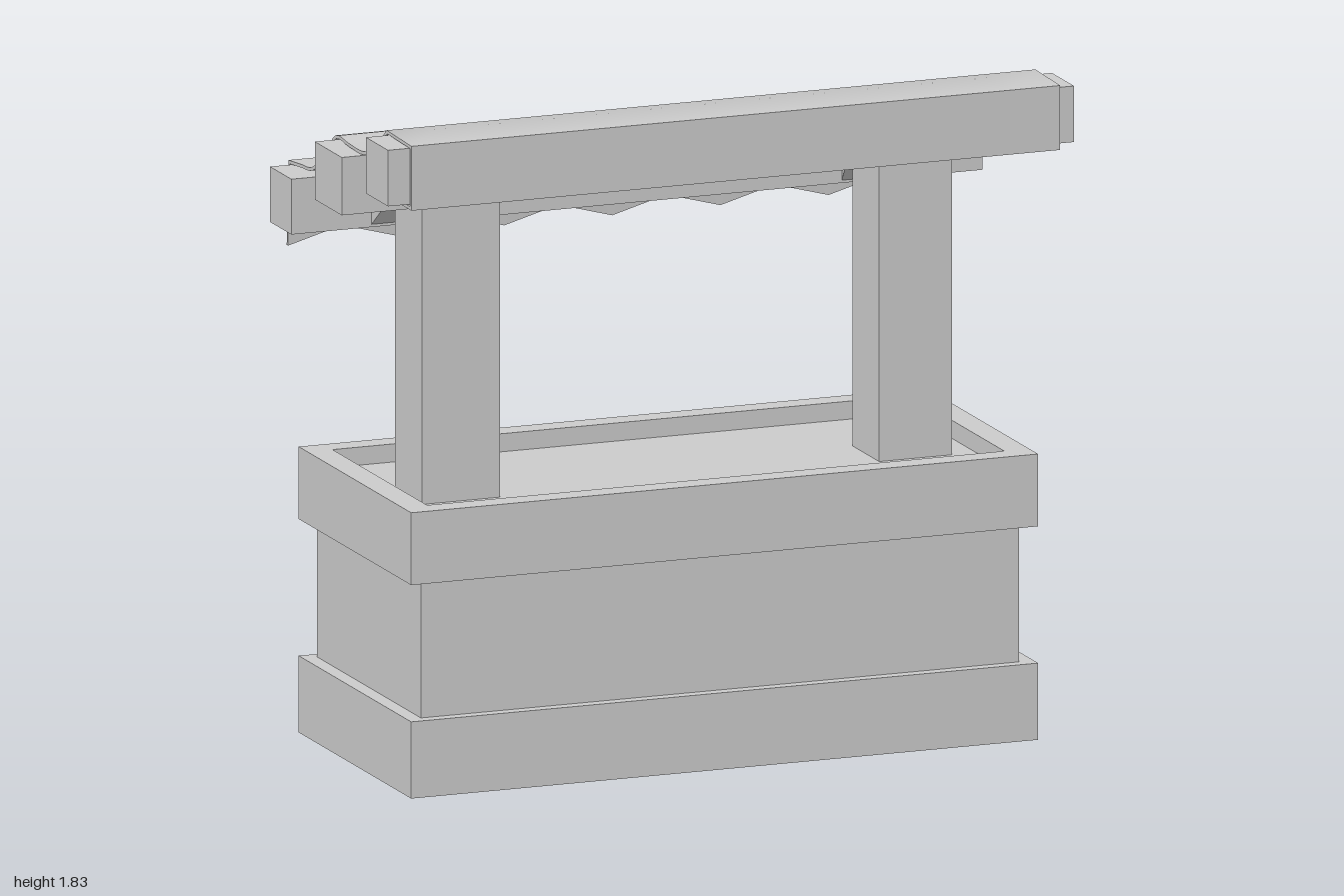
import * as THREE from 'three';
import { toCreasedNormals } from 'three/addons/utils/BufferGeometryUtils.js';

const material = new THREE.MeshStandardMaterial({ color: 0xcccccc });

function add(group, name, geometry) {
  const mesh = new THREE.Mesh(geometry, material);
  mesh.name = name;
  group.add(mesh);
  return mesh;
}

// Box given by its limits on each axis
function block(group, name, [x0, x1], [y0, y1], [z0, z1]) {
  const mesh = add(group, name, new THREE.BoxGeometry(x1 - x0, y1 - y0, z1 - z0));
  mesh.position.set((x0 + x1) / 2, (y0 + y1) / 2, (z0 + z1) / 2);
  return mesh;
}

// Extrudes a side profile of [z, y] points along x, from x0 to x1
function sideExtrude(points, x0, x1, steps = 1) {
  const shape = new THREE.Shape(points.map(([z, y]) => new THREE.Vector2(-z, y)));
  const geometry = new THREE.ExtrudeGeometry(shape, { depth: x1 - x0, steps, bevelEnabled: false });
  return geometry.rotateY(Math.PI / 2).translate(x0, 0, 0);
}

// Raised rim around the counter top
function rimGeometry() {
  const rect = (path, x, z0, z1) =>
    path.moveTo(-x, -z0).lineTo(x, -z0).lineTo(x, -z1).lineTo(-x, -z1).closePath();
  const shape = new THREE.Shape();
  rect(shape, 0.907, 0.365, -0.45);
  const hole = new THREE.Path();
  rect(hole, 0.835, 0.3, -0.385);
  shape.holes.push(hole);
  const geometry = new THREE.ExtrudeGeometry(shape, { depth: 0.2, bevelEnabled: false });
  return geometry.rotateX(-Math.PI / 2).translate(0, 0.59, 0);
}

// Bracket stepping from the front beam over the post to the rear beam
function bracketGeometry(side) {
  const outline = [
    [0.28, 1.66], [0.095, 1.56], [-0.1, 1.56], [-0.28, 1.425],
    [-0.28, 1.575], [-0.1, 1.72], [0.095, 1.72], [0.28, 1.815],
  ];
  const [x0, x1] = side > 0 ? [0.55, 0.768] : [-0.768, -0.545];
  const geometry = sideExtrude(outline, x0, x1);
  const p = geometry.attributes.position;
  // the inner face narrows towards both ends
  for (let i = 0; i < p.count; i++) {
    if (Math.abs(p.getZ(i)) > 0.2 && Math.abs(p.getX(i)) < 0.6) p.setX(i, p.getX(i) + side * 0.045);
  }
  geometry.computeVertexNormals();
  return geometry;
}

// Thin cloth draped over the three beams, with a zigzag rear hem
function canopyGeometry() {
  const smooth = new THREE.SplineCurve([
    [0.27, 1.829], [0.22, 1.79], [0.17, 1.757], [0.1, 1.732], [0, 1.731], [-0.1, 1.732],
    [-0.18, 1.662], [-0.27, 1.606], [-0.35, 1.596], [-0.442, 1.587],
  ].map(([z, y]) => new THREE.Vector2(z, y))).getPoints(36);
  const v = (z, y) => new THREE.Vector2(z, y);
  const outer = [v(0.28, 1.647), v(0.45, 1.647), v(0.45, 1.825), ...smooth, v(-0.454, 1.35)];
  const thickness = 0.009;
  // mitred offset of the outer line
  const inner = outer.map((p, i) => {
    const normal = (a, b) => { const d = b.clone().sub(a).normalize(); return v(-d.y, d.x); };
    const n0 = normal(outer[Math.max(i - 1, 0)], outer[Math.max(i, 1)]);
    const n1 = normal(outer[Math.min(i, outer.length - 2)], outer[Math.min(i + 1, outer.length - 1)]);
    const n = n0.clone().add(n1).normalize();
    return p.clone().addScaledVector(n, thickness / n.dot(n0));
  });
  const profile = [...outer, ...inner.reverse()].map((p) => [p.x, p.y]);
  const geometry = sideExtrude(profile, -0.94, 0.937, 12);
  const p = geometry.attributes.position;
  for (let i = 0; i < p.count; i++) {
    const column = Math.round((p.getX(i) + 0.94) / (1.877 / 12));
    if (p.getY(i) < 1.4 && column % 2) p.setY(i, p.getY(i) + 0.043);
  }
  return toCreasedNormals(geometry, 0.7);
}

export function createModel() {
  const model = new THREE.Group();
  model.name = 'marketStall';

  // Counter
  const counter = new THREE.Group();
  counter.name = 'counter';
  model.add(counter);
  block(counter, 'plinth', [-0.907, 0.907], [0, 0.212], [-0.45, 0.365]);
  block(counter, 'counterBody', [-0.866, 0.864], [0.2, 0.74], [-0.42, 0.333]);
  add(counter, 'counterRim', rimGeometry());

  // Posts and brackets
  for (const side of [-1, 1]) {
    const label = side > 0 ? 'left' : 'right';
    block(model, label + 'Post', side > 0 ? [0.555, 0.766] : [-0.768, -0.542], [0.73, 1.57], [-0.1, 0.095]);
    add(model, label + 'Bracket', bracketGeometry(side));
  }

  // Roof beams
  block(model, 'frontBeam', [-1, 0.985], [1.66, 1.815], [0.27, 0.43]);
  block(model, 'middleBeam', [-1, 0.985], [1.56, 1.72], [-0.1, 0.095]);
  block(model, 'rearBeam', [-1, 1], [1.425, 1.578], [-0.425, -0.27]);

  add(model, 'canopy', canopyGeometry());
  return model;
}
